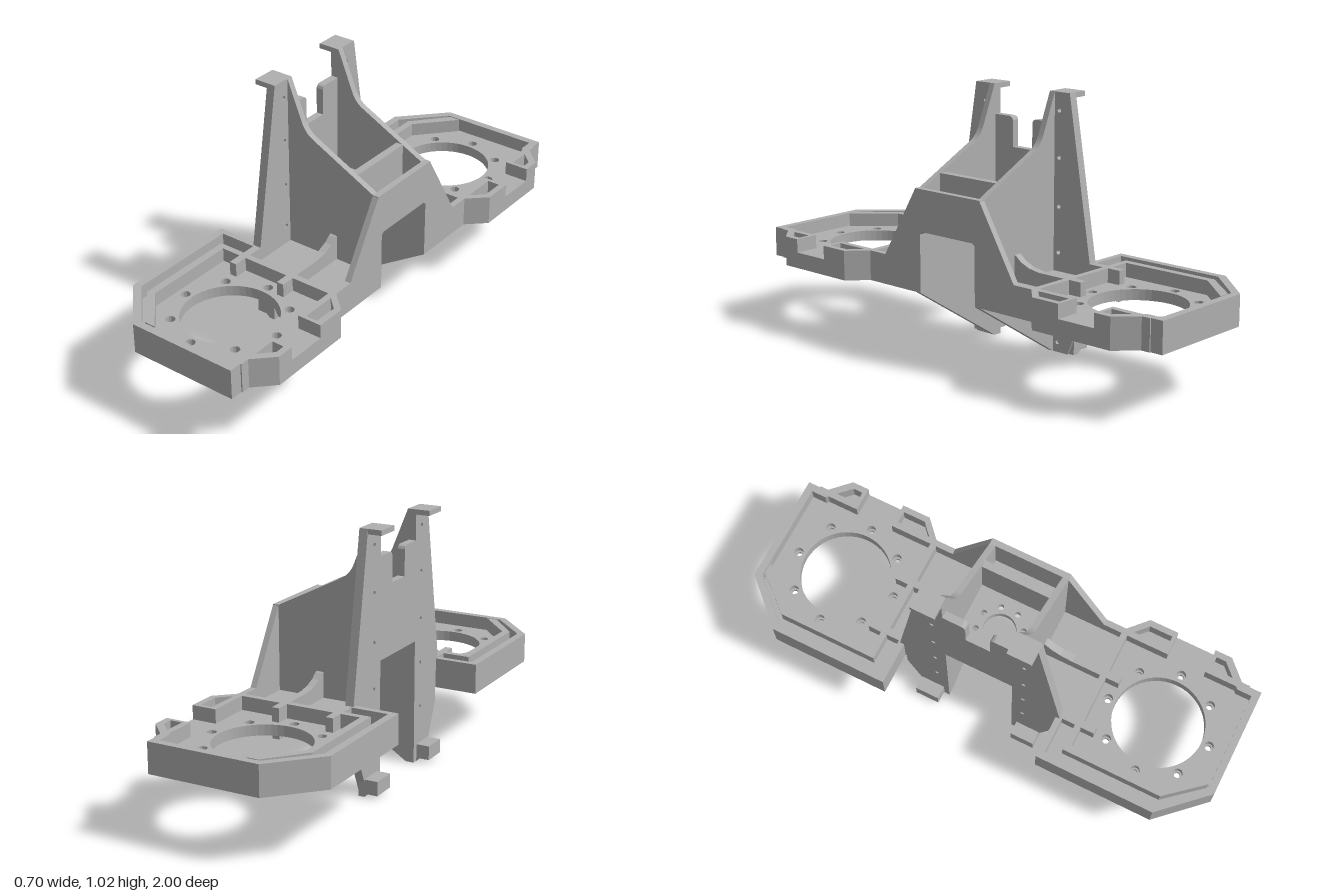
import * as THREE from 'three';

const grey = new THREE.MeshStandardMaterial({ color: 0xb0b0b0 });
grey.name = 'plain grey';

const toShape = (pts) => new THREE.Shape(pts.map(([a, b]) => new THREE.Vector2(a, b)));
const circle = (x, y, r, n) => toShape(Array.from({ length: n }, (_, i) => {
  const t = (i / n) * Math.PI * 2;
  return [x + r * Math.cos(t), y + r * Math.sin(t)];
}));

function mesh(name, geo) {
  const m = new THREE.Mesh(geo, grey);
  m.name = name;
  return m;
}
function extrude(shape, holes, depth) {
  shape.holes.push(...holes);
  return new THREE.ExtrudeGeometry(shape, { depth, bevelEnabled: false, curveSegments: 10 });
}
// Horizontal plate: outline in (x, z), from y0 to y1
function slab(name, pts, y0, y1, holes = []) {
  const flip = (p) => p.map(([x, z]) => [x, -z]);
  const geo = extrude(toShape(flip(pts)), holes, y1 - y0);
  return mesh(name, geo.rotateX(-Math.PI / 2).translate(0, y0, 0));
}
// Plate facing x: outline in (z, y), from x0 to x1
function plateX(name, pts, x0, x1, holes = []) {
  const geo = extrude(toShape(pts), holes, x1 - x0);
  return mesh(name, geo.rotateY(-Math.PI / 2).translate(x1, 0, 0));
}
function box(name, x0, x1, y0, y1, z0, z1) {
  const geo = new THREE.BoxGeometry(x1 - x0, y1 - y0, Math.abs(z1 - z0));
  return mesh(name, geo.translate((x0 + x1) / 2, (y0 + y1) / 2, (z0 + z1) / 2));
}

// Tray outline, beginning and ending beside the notch in the outer rim
const OUTER = [[0.35, 0.6], [0.35, 0.49], [0.275, 0.42], [0.275, 0.15], [-0.175, 0.15],
  [-0.175, 0.33], [-0.35, 0.33], [-0.35, 0.82], [-0.18, 1], [0.27, 1], [0.27, 0.92],
  [0.35, 0.84], [0.35, 0.78]];
const INNER = [[0.325, 0.6], [0.325, 0.5], [0.25, 0.43], [0.25, 0.165], [-0.145, 0.165],
  [-0.145, 0.355], [-0.32, 0.355], [-0.32, 0.808], [-0.168, 0.97], [0.24, 0.97], [0.24, 0.91],
  [0.325, 0.825], [0.325, 0.78]];

function buildTray(s) {
  const tray = new THREE.Group();
  tray.name = s > 0 ? 'frontTray' : 'rearTray';
  const m = (pts) => pts.map(([x, z]) => [x, z * s]);
  const mz = (pts) => pts.map(([z, y]) => [z * s, y]);
  const cz = -0.69 * s; // hole centre in shape coordinates

  // Floor with large opening and eight screw holes
  const screws = (r) => Array.from({ length: 8 }, (_, i) => {
    const t = (i * Math.PI) / 4;
    return circle(0.215 * Math.cos(t), cz + 0.215 * Math.sin(t), r, 12);
  });
  tray.add(slab('trayFloor', m(OUTER), 0.295, 0.325, [circle(0, cz, 0.183, 48), ...screws(0.019)]));
  tray.add(slab('openingRing', circle(0, 0.69 * s, 0.245, 48).getPoints().map((p) => [p.x, p.y]),
    0.283, 0.296, [circle(0, cz, 0.183, 48), ...screws(0.012)]));

  // Outer rim: full below, notched above
  tray.add(slab('lowerRim', m(OUTER), 0.26, 0.325, [toShape(m(INNER).map(([x, z]) => [x, -z]))]));
  tray.add(slab('upperRim', m([...OUTER, ...INNER.slice().reverse()]), 0.32, 0.38));

  // Inner walls and ribs
  tray.add(slab('innerWall', m([[-0.28, 0.41], [-0.28, 0.82], [-0.155, 0.965], [-0.11, 0.965],
    [-0.25, 0.81], [-0.25, 0.41]]), 0.26, 0.38));
  tray.add(box('crossRib', -0.28, 0.275, 0.26, 0.38, 0.41 * s, 0.435 * s));
  for (const [a, b] of [[0.42, 0.61], [0.77, 0.95]]) {
    tray.add(box('sideRib', 0.25, 0.275, 0.26, 0.38, a * s, b * s));
  }
  for (const [a, b] of [[0.595, 0.61], [0.77, 0.785]]) {
    tray.add(box('notchCheek', 0.25, 0.35, 0.3, 0.38, a * s, b * s));
  }
  tray.add(box('shortRib', -0.17, -0.14, 0.26, 0.38, 0.3 * s, 0.49 * s));

  // Curved gusset rib rising to the side wall
  tray.add(plateX('gussetRib', mz([[0.16, 0.43], [0.175, 0.425], [0.2, 0.405], [0.24, 0.388],
    [0.29, 0.38], [0.49, 0.38], [0.49, 0.26], [0.26, 0.26], [0.19, 0.252], [0.16, 0.245]]), 0.055, 0.085));
  return tray;
}

function buildUpright(s) {
  const g = new THREE.Group();
  g.name = s > 0 ? 'frontUpright' : 'rearUpright';
  const mz = (pts) => pts.map(([z, y]) => [z * s, y]);

  // Side wall with a swept upper edge
  const wall = toShape([[-0.175, 0], [-0.14, 0], [0.275, 0.26], [0.275, 0.665], [0.25, 0.665], [-0.03, 0.807]]);
  wall.quadraticCurveTo(-0.06, 0.825, -0.075, 0.86);
  wall.lineTo(-0.14, 1.02);
  wall.lineTo(-0.175, 1.02);
  const geo = extrude(wall, [], 0.025).translate(0, 0, s > 0 ? 0.142 : -0.167);
  g.add(mesh('sideWall', geo));

  // Tapered flange with a row of screw holes
  const holes = [0.04, 0.22, 0.4, 0.58, 0.77, 0.95].map((y) => circle(0.19 * s, y, 0.009, 12));
  g.add(plateX('flange', mz([[0.142, 0], [0.24, 0], [0.325, 0.2], [0.325, 0.36], [0.347, 0.38],
    [0.24, 1.02], [0.142, 1.02]]), -0.175, -0.14, holes));

  // Hooks at both ends
  g.add(box('topHook', -0.23, -0.14, 1.0, 1.02, 0.142 * s, 0.24 * s));
  const hook = toShape([[-0.23, 0.013], [-0.19, 0.013], [-0.175, 0], [-0.15, 0], [-0.15, 0.07], [-0.23, 0.07]]);
  g.add(mesh('bottomHook', extrude(hook, [], 0.1).translate(0, 0, s > 0 ? 0.165 : -0.265)));
  return g;
}

export function createModel() {
  const model = new THREE.Group();
  model.name = 'mountingBracket';
  for (const s of [1, -1]) model.add(buildTray(s), buildUpright(s));

  // Bridge end plate, mirrored outline with a gateway
  const half = [[0.165, 0.665], [0.335, 0.38], [0.335, 0.26], [0.142, 0.26], [0.142, 0.49], [0.13, 0.5]];
  const mirrored = (pts) => [...pts, ...pts.slice().reverse().map(([z, y]) => [-z, y])];
  model.add(plateX('endPlate', mirrored(half), 0.25, 0.275));

  // Notched back plate
  model.add(plateX('backPlate', mirrored([[0.145, 0.5], [0.145, 0.9], [0.065, 0.9], [0.055, 0.895],
    [0.05, 0.885], [0.05, 0.78]]), -0.175, -0.145));

  // Bridge deck with a centre hole and a ring of small holes
  const ring = Array.from({ length: 8 }, (_, i) => {
    const t = ((i + 0.5) * Math.PI) / 4;
    return circle(0.092 * Math.cos(t), 0.092 * Math.sin(t), 0.012, 12);
  });
  model.add(slab('bridgeDeck', [[-0.175, -0.15], [0.275, -0.15], [0.275, 0.15], [-0.175, 0.15]],
    0.5, 0.525, [circle(0, 0, 0.065, 32), ...ring]));
  model.add(box('crossWall', 0.135, 0.165, 0.5, 0.71, -0.145, 0.145));
  return model;
}
